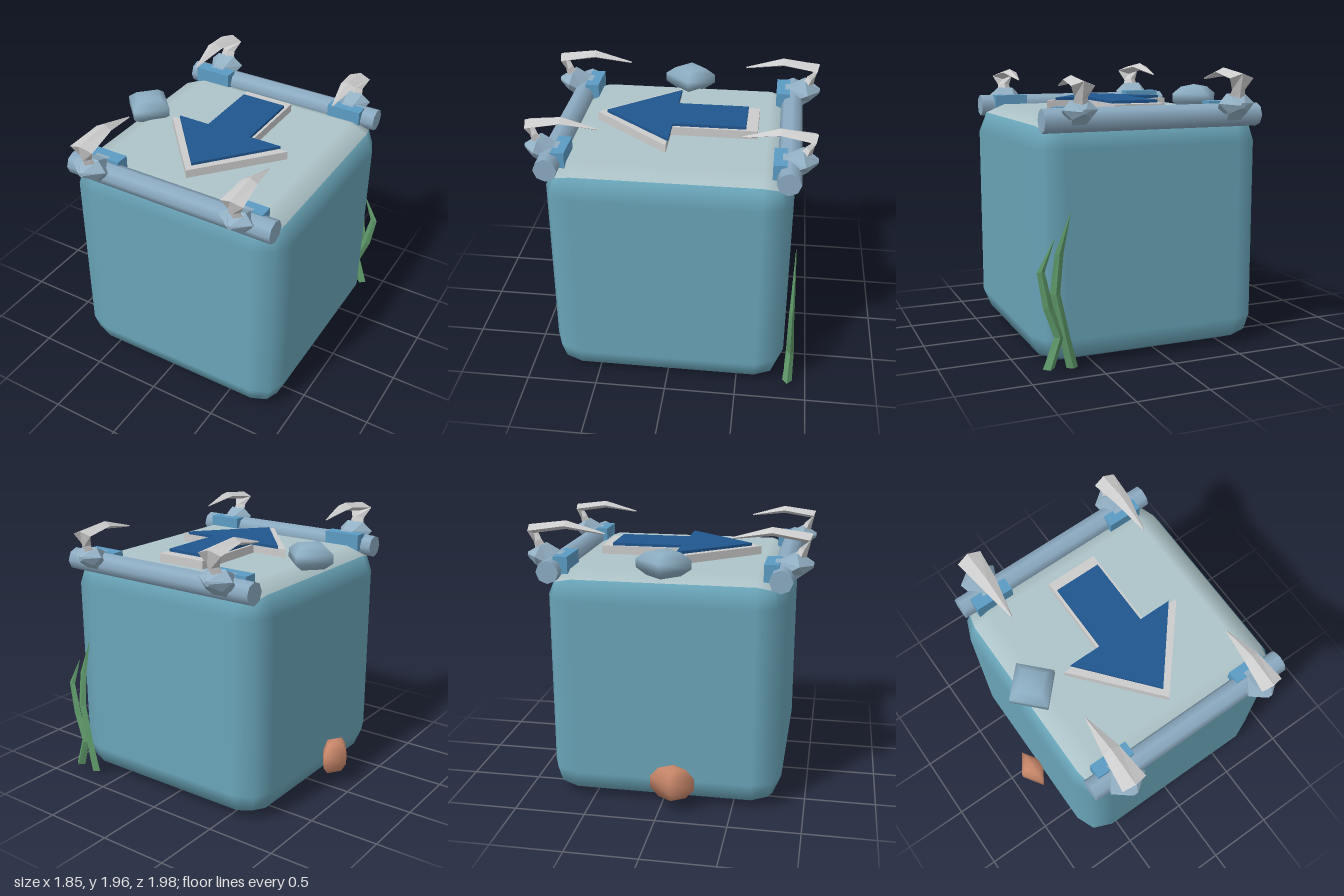
import * as THREE from 'three';
import { RoundedBoxGeometry } from 'three/addons/geometries/RoundedBoxGeometry.js';

const paint = (color, flatShading = false) => new THREE.MeshStandardMaterial({ color, flatShading });

function add(parent, name, geometry, material, x = 0, y = 0, z = 0) {
  const mesh = new THREE.Mesh(geometry, material);
  mesh.name = name;
  mesh.position.set(x, y, z);
  parent.add(mesh);
  return mesh;
}

// Closed solid through sections [x, y, z, halfWidth, halfThickness], set across the path
function loft(path, sides = 4) {
  const rings = path.map(([x, y, z, w, t], i) => {
    const a = path[Math.max(i - 1, 0)], b = path[Math.min(i + 1, path.length - 1)];
    const d = new THREE.Vector2(b[1] - a[1], b[2] - a[2]).normalize();
    return Array.from({ length: sides }, (_, k) => {
      const c = w * Math.cos(k * 2 * Math.PI / sides), s = t * Math.sin(k * 2 * Math.PI / sides);
      return [x + c, y + d.y * s, z - d.x * s];
    });
  });
  const pos = [];
  const tri = (...p) => p.forEach(v => pos.push(...v));
  for (let i = 0; i + 1 < rings.length; i++) {
    for (let k = 0; k < sides; k++) {
      const n = (k + 1) % sides, [a, b] = [rings[i], rings[i + 1]];
      tri(a[k], a[n], b[n]);
      tri(a[k], b[n], b[k]);
    }
  }
  const first = rings[0], last = rings[rings.length - 1];
  for (let k = 1; k + 1 < sides; k++) {
    tri(first[0], first[k + 1], first[k]);
    tri(last[0], last[k], last[k + 1]);
  }
  const g = new THREE.BufferGeometry();
  g.setAttribute('position', new THREE.Float32BufferAttribute(pos, 3));
  g.computeVertexNormals();
  return g;
}

// Arrow pointing to +z, lying flat; symmetric about x = 0
function arrow(shaft, tail, head, neck, tip, depth) {
  const half = [[shaft, tail], [shaft, neck], [head, neck]];
  const outline = [...half, [0, tip], ...half.map(([x, z]) => [-x, z]).reverse()];
  const shape = new THREE.Shape(outline.map(([x, z]) => new THREE.Vector2(x, -z)));
  return new THREE.ExtrudeGeometry(shape, { depth, bevelEnabled: false }).rotateX(-Math.PI / 2);
}

export function createModel() {
  const model = new THREE.Group();
  const midX = 0.07;

  // Rounded cube, each face its own panel
  const body = new THREE.Group();
  body.name = 'body';
  model.add(body);
  const cube = new RoundedBoxGeometry(1.66, 1.66, 1.66, 1, 0.2);
  const side = paint(0x69a4b8), top = paint(0xaec4c8), base = paint(0x55849f);
  const panels = [['leftPanel', side], ['rightPanel', side], ['topPanel', top],
    ['bottomPanel', base], ['frontPanel', side], ['backPanel', side]];
  panels.forEach(([name, material], i) => {
    const { start, count } = cube.groups[i];
    const g = new THREE.BufferGeometry();
    for (const key of ['position', 'normal']) {
      g.setAttribute(key, new THREE.BufferAttribute(cube.attributes[key].array.slice(start * 3, (start + count) * 3), 3));
    }
    add(body, name, g, material, midX, 0.83, 0);
  });

  // Arrow sign on top
  add(model, 'arrowBorder', arrow(0.19, -0.56, 0.47, 0.04, 0.59, 0.065), paint(0xcccccc), midX, 1.655, 0);
  add(model, 'arrowFace', arrow(0.17, -0.48, 0.41, 0.03, 0.52, 0.02), paint(0x20568f), midX, 1.72, 0);

  // Bars along the front and back top edges, each gripped by two claws
  const barPaint = paint(0x8cabc2), handPaint = paint(0x93b0c4, true);
  const wristPaint = paint(0x5c9cc4, true), talonPaint = paint(0xc6c2c2, true);
  const hand = loft([[0, 0.08, -0.08, 0.12, 0.07], [0, 0.06, 0, 0.09, 0.1],
    [0, 0.13, 0.11, 0.135, 0.08], [0, 0.12, 0.2, 0.02, 0.02]], 6);
  const talon = loft([[0, 0.12, 0.09, 0.07, 0.05], [0, 0.22, 0.13, 0.05, 0.03],
    [0, 0.3, 0.17, 0.09, 0.035], [0, 0.335, -0.08, 0.06, 0.03], [0, 0.28, -0.355, 0.006, 0.006]]);
  for (const end of [1, -1]) {
    const bar = new THREE.CylinderGeometry(0.08, 0.08, 1.56, 8).rotateZ(Math.PI / 2);
    add(model, end > 0 ? 'frontBar' : 'backBar', bar, barPaint, midX, 1.645, end * 0.79);
    for (const [x, scale] of [[-0.49, 1], [0.625, 0.9]]) {
      const claw = new THREE.Group();
      claw.name = (end > 0 ? 'front' : 'back') + (x > 0 ? 'Left' : 'Right') + 'Claw';
      claw.position.set(x, 1.6, end * 0.79);
      claw.rotation.y = end > 0 ? 0 : Math.PI;
      claw.scale.setScalar(scale);
      add(claw, 'wrist', new THREE.BoxGeometry(0.28, 0.12, 0.1), wristPaint, 0, 0.08, -0.07);
      add(claw, 'hand', hand, handPaint);
      add(claw, 'talon', talon, talonPaint);
      model.add(claw);
    }
  }

  // Stones
  const stone = new THREE.SphereGeometry(1, 4, 5);
  add(model, 'topStone', stone, paint(0x8cadc2), -0.63, 1.72, 0).scale.set(0.19, 0.1, 0.2);
  add(model, 'sideStone', stone, paint(0xc8876a), -0.83, 0.21, 0.09).scale.set(0.105, 0.135, 0.165);

  // Two weed blades at the back corner
  const weed = paint(0x5f9a6a, true);
  add(model, 'tallBlade', loft([[0.69, 0.03, -0.875, 0.04, 0.03], [0.74, 0.25, -0.875, 0.035, 0.025],
    [0.8, 0.54, -0.87, 0.035, 0.02], [0.77, 0.8, -0.87, 0.03, 0.012], [0.69, 1.06, -0.87, 0.002, 0.002]]), weed);
  add(model, 'shortBlade', loft([[0.85, 0.04, -0.87, 0.04, 0.035], [0.78, 0.25, -0.88, 0.035, 0.025],
    [0.85, 0.45, -0.875, 0.035, 0.02], [0.895, 0.69, -0.87, 0.027, 0.012], [0.8, 0.9, -0.87, 0.002, 0.002]]), weed);

  return model;
}
